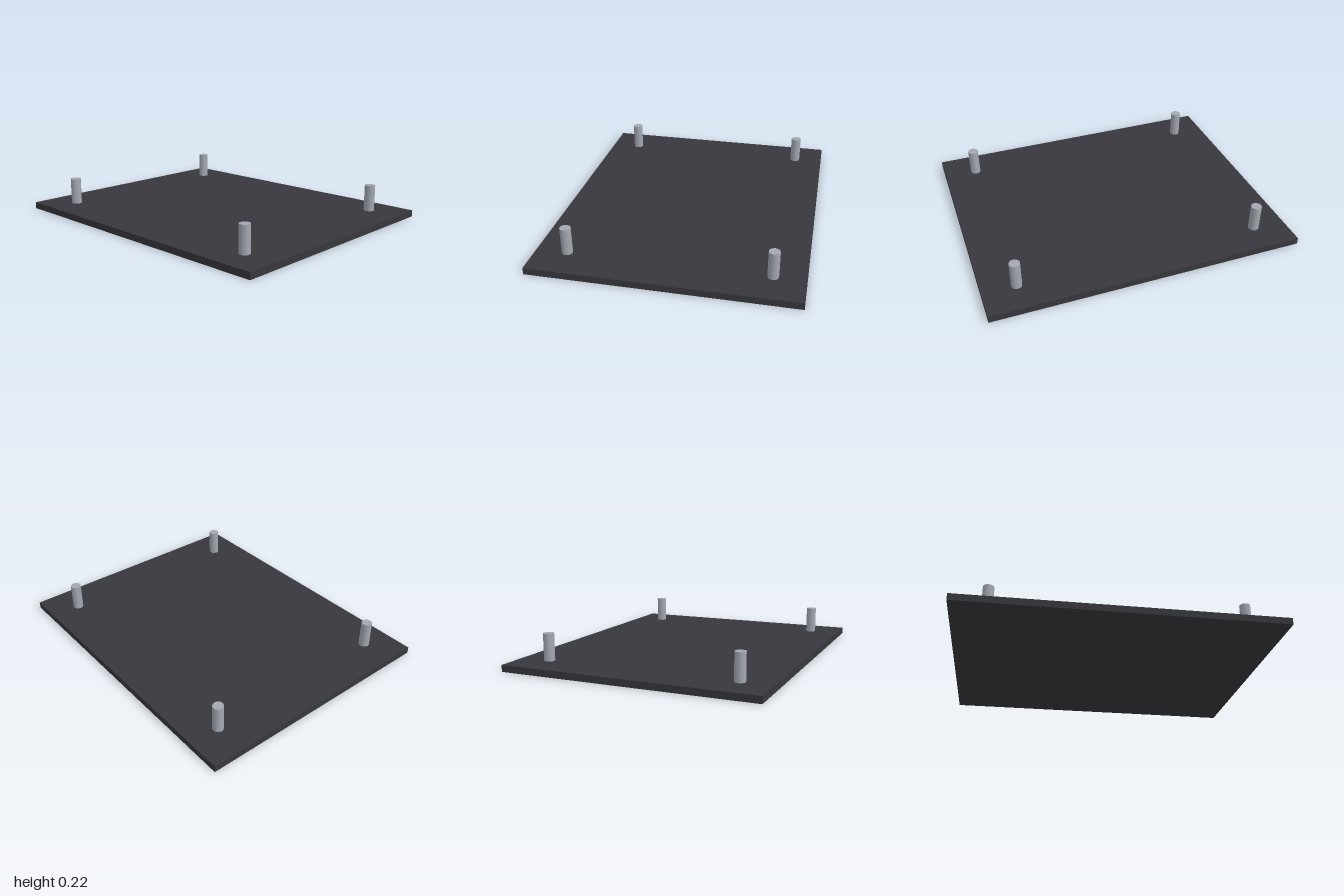
import * as THREE from 'three';

export function createModel() {
  const darkPlate = new THREE.MeshStandardMaterial({ color: 0x38373d });
  darkPlate.name = 'dark plate';
  const greyMetal = new THREE.MeshStandardMaterial({ color: 0xa4a8b2 });
  greyMetal.name = 'grey metal';

  const model = new THREE.Group();
  model.name = 'plateWithPegs';

  // Flat base plate
  const thickness = 0.043;
  const plate = new THREE.Mesh(new THREE.BoxGeometry(2, thickness, 1.634), darkPlate);
  plate.name = 'basePlate';
  plate.position.y = thickness / 2;
  model.add(plate);

  // One upright peg near each corner
  const pegHeight = 0.172;
  const pegGeometry = new THREE.CylinderGeometry(0.034, 0.034, pegHeight, 12);
  for (const [side, x] of [['Left', 0.787], ['Right', -0.787]]) {
    for (const [end, z] of [['front', 0.621], ['back', -0.621]]) {
      const peg = new THREE.Mesh(pegGeometry, greyMetal);
      peg.name = `${end}${side}Peg`;
      peg.position.set(x, thickness + pegHeight / 2, z);
      model.add(peg);
    }
  }
  return model;
}
